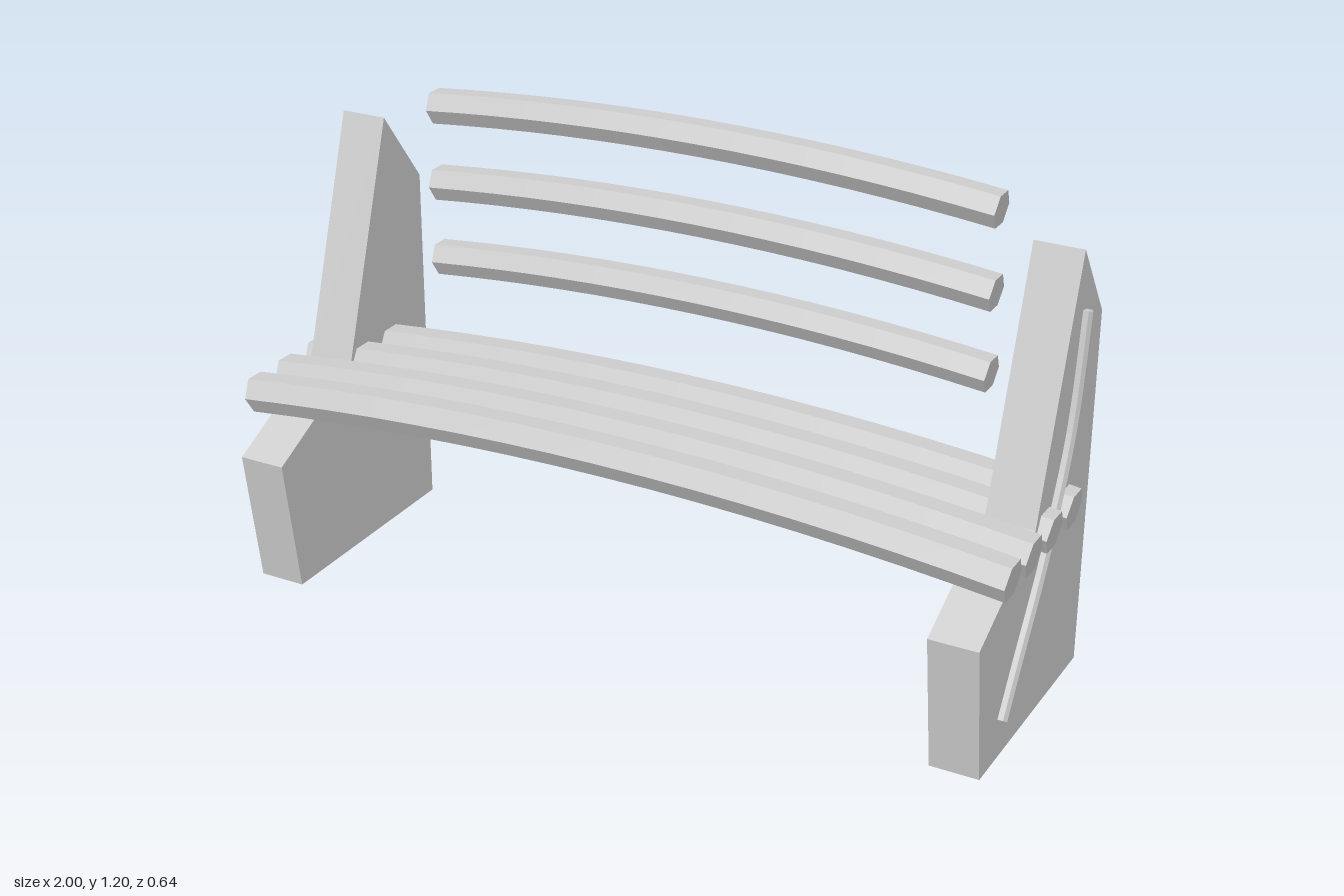
import * as THREE from 'three';

const V = (x, y, z) => new THREE.Vector3(x, y, z);

// Hexagonal bar swept along a curve, with capped ends
function hexBar(path, radius, steps) {
  const hex = new THREE.Shape();
  for (let i = 0; i < 6; i++) {
    const a = (i * Math.PI) / 3;
    hex[i ? 'lineTo' : 'moveTo'](radius * Math.cos(a), radius * Math.sin(a));
  }
  hex.closePath();
  return new THREE.ExtrudeGeometry(hex, { steps, extrudePath: path });
}

// Slat arching gently upward at its middle
function slatGeometry(half, rise, radius) {
  const path = new THREE.QuadraticBezierCurve3(V(-half, 0, 0), V(0, 2 * rise, 0), V(half, 0, 0));
  return hexBar(path, radius, 16);
}

export function createModel() {
  const bench = new THREE.Group();
  bench.name = 'bench';
  const grey = new THREE.MeshStandardMaterial({ color: 0xcccccc });
  grey.name = 'light grey';

  const add = (name, geometry, x = 0, y = 0, z = 0) => {
    const mesh = new THREE.Mesh(geometry, grey);
    mesh.name = name;
    mesh.position.set(x, y, z);
    bench.add(mesh);
    return mesh;
  };

  // Seat slats
  const seat = slatGeometry(0.995, 0.06, 0.05);
  [0.215, 0.09, -0.035, -0.16].forEach((z, i) => add(`seatSlat${i + 1}`, seat, 0, 0.477, z));

  // Backrest slats
  const back = slatGeometry(0.745, 0.04, 0.045);
  [0.721, 0.921, 1.121].forEach((y, i) => add(`backSlat${i + 1}`, back, 0, y, -0.25));

  // End panel profile, drawn as (-z, y) and turned to extrude along x
  const profile = new THREE.Shape(
    [[-0.275, 0], [0.32, 0], [0.32, 0.9], [0.175, 1.095], [-0.02, 0.5], [-0.325, 0.35]]
      .map(([a, b]) => new THREE.Vector2(a, b)));
  const panel = new THREE.ExtrudeGeometry(profile, { depth: 0.12, bevelEnabled: false });
  panel.translate(0, 0, -0.06).rotateY(Math.PI / 2);

  // Curved rod on the outer face of each panel
  const rodPath = new THREE.CatmullRomCurve3([
    [0.1, 0.176], [0.216, 0.1], [0.384, -0.013], [0.524, -0.086],
    [0.629, -0.134], [0.74, -0.166], [0.946, -0.198],
  ].map(([y, z]) => V(0, y, z)));
  const rod = hexBar(rodPath, 0.013, 20);

  for (const [side, s] of [['left', 1], ['right', -1]]) {
    add(`${side}EndPanel`, panel, s * 0.91);
    add(`${side}Rod`, rod, s * 0.977);
  }
  return bench;
}
